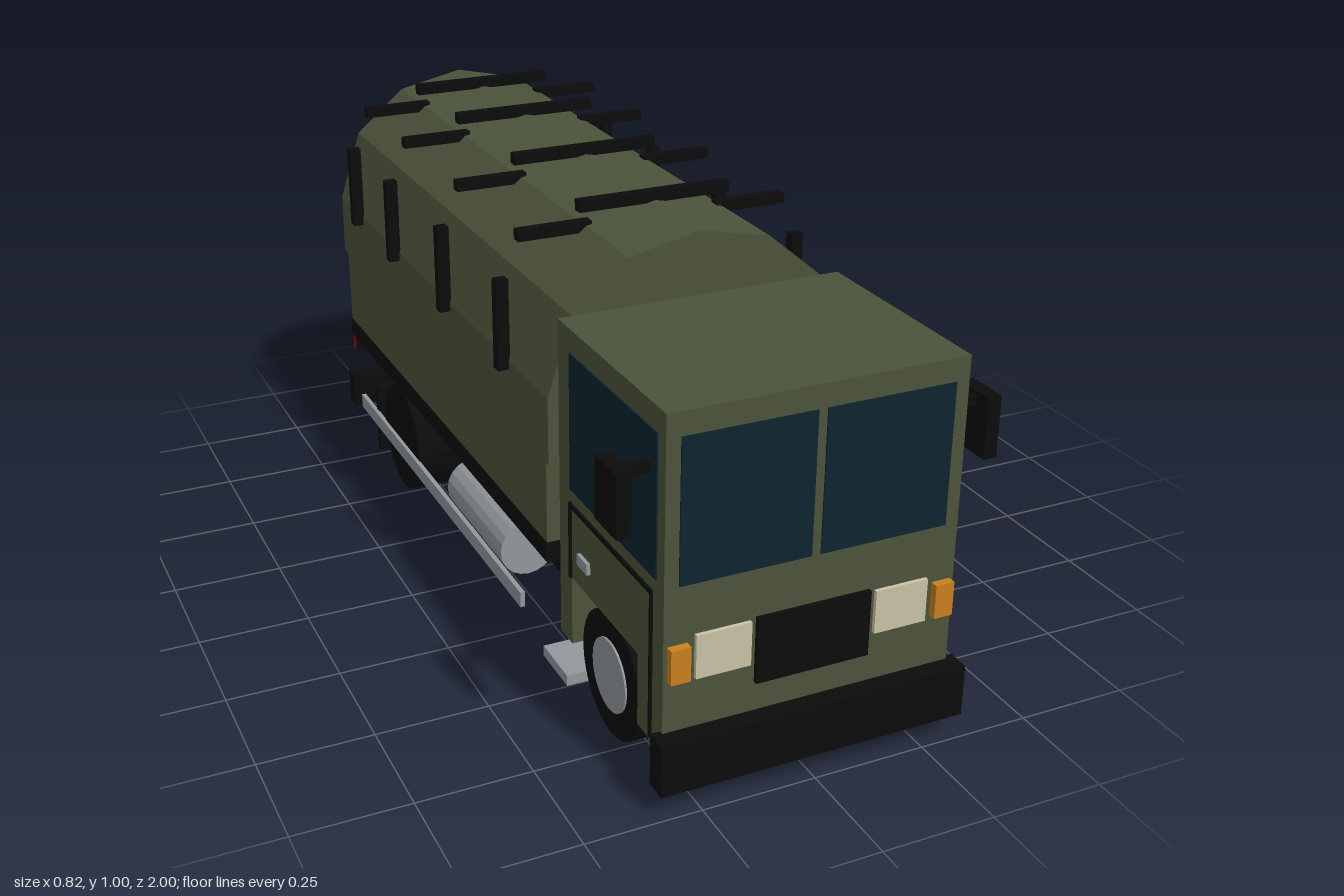
import * as THREE from 'three';

const mat = (name, color) => {
  const m = new THREE.MeshStandardMaterial({ color, flatShading: true });
  m.name = name;
  return m;
};

export function createModel() {
  const green = mat('olive paint', 0x4b533a);
  const black = mat('black', 0x0c0c0c);
  const glass = mat('dark glass', 0x0e2430);
  const grey = mat('metal grey', 0x91979b);
  const cream = mat('headlight cream', 0xc9c1a6);
  const orange = mat('indicator orange', 0xc98020);
  const red = mat('tail light red', 0x8c0a22);
  const floorGrey = mat('floor grey', 0x1d1c21);

  const truck = new THREE.Group();
  truck.name = 'truck';

  const add = (name, geometry, material) => {
    const mesh = new THREE.Mesh(geometry, material);
    mesh.name = name;
    truck.add(mesh);
    return mesh;
  };
  // Box given by its limits on each axis
  const box = (name, material, x0, x1, y0, y1, z0, z1) => {
    const mesh = add(name, new THREE.BoxGeometry(Math.abs(x1 - x0), y1 - y0, z1 - z0), material);
    mesh.position.set((x0 + x1) / 2, (y0 + y1) / 2, (z0 + z1) / 2);
    return mesh;
  };
  // The same box on both sides
  const pair = (name, material, x0, x1, ...rest) => {
    box(name + 'Left', material, x0, x1, ...rest);
    box(name + 'Right', material, -x1, -x0, ...rest);
  };
  const wide = (name, material, x, ...rest) => box(name, material, -x, x, ...rest);

  // Cab: upper shell, front skirt and rear skirts leave the wheel arches open
  wide('cabShell', green, 0.32, 0.29, 0.845, 0.47, 0.96);
  wide('cabFrontSkirt', green, 0.32, 0.13, 0.29, 0.85, 0.96);
  pair('cabRearSkirt', green, 0.26, 0.32, 0.13, 0.29, 0.47, 0.53);
  wide('cabFloor', floorGrey, 0.21, 0.26, 0.289, 0.54, 0.849);
  pair('archLiner', black, 0.21, 0.31, 0.275, 0.289, 0.59, 0.8);

  // Windows
  pair('windshield', glass, 0.01, 0.29, 0.49, 0.795, 0.96, 0.963);
  pair('sideWindow', glass, 0.32, 0.323, 0.495, 0.795, 0.53, 0.93);

  // Door outline and handle
  pair('doorTopTrim', black, 0.32, 0.325, 0.455, 0.465, 0.525, 0.915);
  pair('doorFrontTrim', black, 0.32, 0.325, 0.14, 0.465, 0.907, 0.915);
  pair('doorRearTrim', black, 0.32, 0.325, 0.29, 0.465, 0.525, 0.533);
  pair('doorHandle', grey, 0.32, 0.328, 0.345, 0.37, 0.575, 0.625);

  // Mirrors
  pair('mirrorArm', black, 0.32, 0.385, 0.705, 0.727, 0.885, 0.905);
  pair('mirror', black, 0.38, 0.41, 0.605, 0.737, 0.85, 0.945);

  // Cab front
  wide('grille', black, 0.125, 0.24, 0.385, 0.96, 0.97);
  pair('headlight', cream, 0.137, 0.255, 0.285, 0.38, 0.96, 0.969);
  pair('frontIndicator', orange, 0.27, 0.312, 0.29, 0.365, 0.96, 0.978);
  wide('frontBumper', black, 0.34, 0.06, 0.175, 0.95, 1.0);

  // Canvas cover: faceted arch extruded along the body
  const half = [[0.34, 0.52], [0.34, 0.67], [0.285, 0.84], [0.16, 0.945]];
  const outline = [...half, [0, 0.98], ...half.map(([x, y]) => [-x, y]).reverse()];
  const shape = new THREE.Shape(outline.map(([x, y]) => new THREE.Vector2(x, y)));
  const cover = add('canvasCover', new THREE.ExtrudeGeometry(shape, { depth: 1.425, bevelEnabled: false }), green);
  cover.position.z = -0.965;

  // Cargo bed
  wide('bedSides', green, 0.337, 0.33, 0.525, -0.945, 0.44);
  wide('bedBase', black, 0.34, 0.285, 0.33, -0.945, 0.44);

  // Bars around the cover
  for (const z of [0.235, -0.13, -0.495, -0.79]) {
    wide('ridgeBar', black, 0.175, 0.975, 1.0, z - 0.0125, z + 0.0125);
    pair('shoulderBar', black, 0.147, 0.313, 0.931, 0.955, z - 0.0125, z + 0.0125);
    pair('sideBar', black, 0.337, 0.365, 0.65, 0.853, z - 0.0125, z + 0.0125);
  }

  // Chassis
  pair('chassisRail', black, 0.13, 0.18, 0.06, 0.2, -0.95, 0.44);
  for (const z of [-0.9, -0.3, 0.05, 0.4]) {
    wide('crossMember', black, 0.14, 0.09, 0.18, z - 0.03, z + 0.03);
  }
  pair('lowerRail', black, 0.145, 0.18, 0.04, 0.06, -0.7, -0.09);
  box('batteryBox', black, 0.18, 0.3, 0.07, 0.2, -0.2, 0.12);
  wide('rearBumper', black, 0.34, 0.065, 0.155, -1.0, -0.95);
  pair('mudFlap', black, 0.19, 0.335, 0.015, 0.2, -0.765, -0.745);
  pair('guardRail', grey, 0.333, 0.344, 0.095, 0.132, -0.87, 0.295);
  pair('step', grey, 0.205, 0.337, 0.035, 0.06, 0.41, 0.54);

  // Cylinders lying along x or z
  const cylinder = (name, material, r, length, sides, x, y, z, axis = 'x') => {
    const geometry = new THREE.CylinderGeometry(r, r, length, sides);
    if (axis === 'x') geometry.rotateZ(Math.PI / 2);
    else geometry.rotateX(Math.PI / 2);
    add(name, geometry, material).position.set(x, y, z);
  };
  cylinder('fuelTank', grey, 0.068, 0.36, 20, -0.25, 0.13, -0.07, 'z');
  cylinder('driveShaft', black, 0.025, 0.9, 10, 0, 0.13, -0.1, 'z');

  // Axles and wheels
  for (const z of [0.69, -0.55]) cylinder('axle', black, 0.03, 0.44, 10, 0, 0.14, z);
  for (const s of [1, -1]) {
    cylinder('frontTyre', black, 0.138, 0.085, 28, s * 0.262, 0.143, 0.69);
    cylinder('frontRim', grey, 0.08, 0.09, 24, s * 0.264, 0.143, 0.69);
    cylinder('rearTyre', black, 0.138, 0.155, 28, s * 0.2575, 0.143, -0.55);
  }

  // Tail lights
  pair('tailLight', red, 0.228, 0.33, 0.232, 0.3, -0.972, -0.945);
  pair('rearIndicator', orange, 0.15, 0.215, 0.237, 0.295, -0.968, -0.945);
  pair('tailLightMount', black, 0.15, 0.33, 0.235, 0.3, -0.945, -0.935);

  return truck;
}
